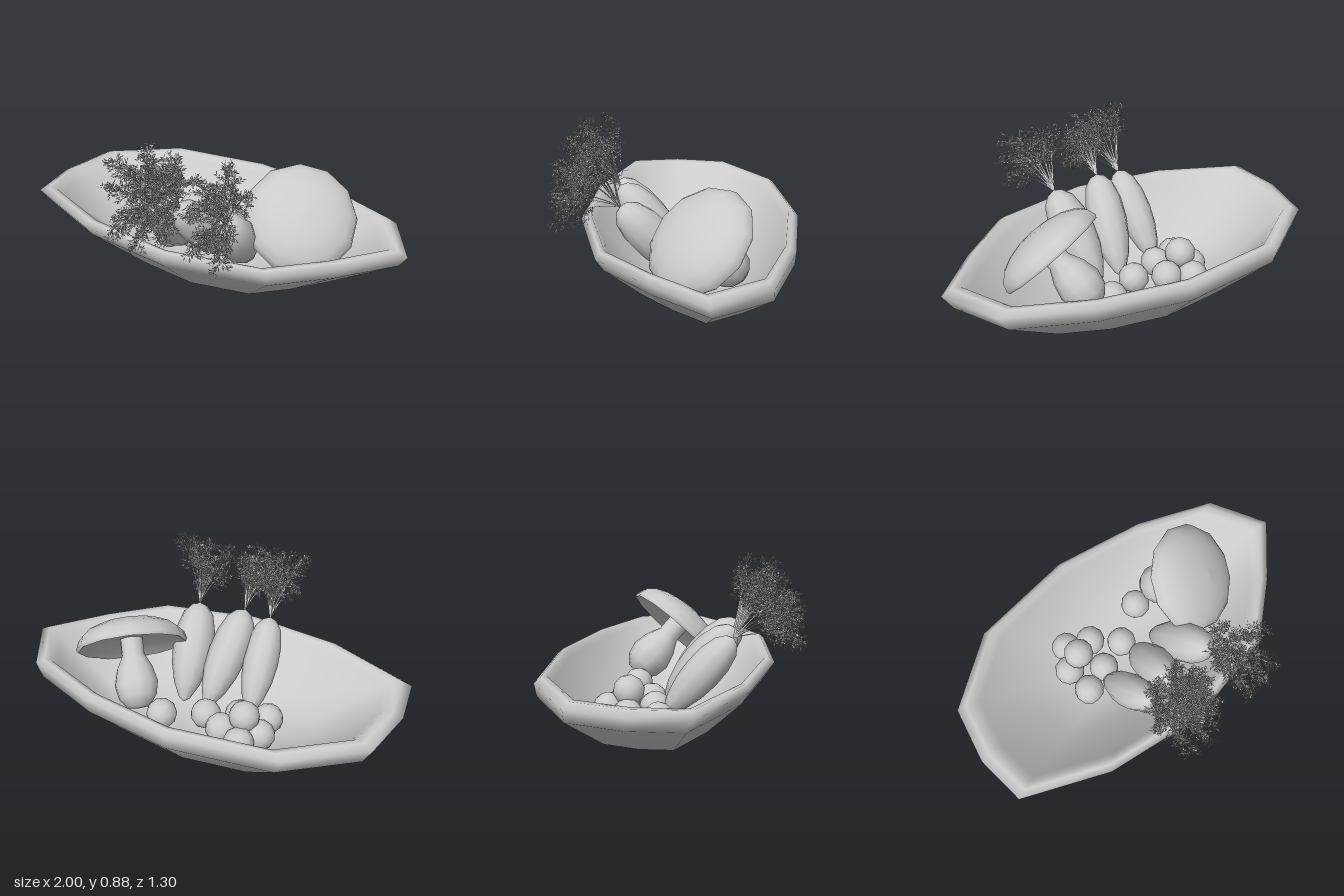
import * as THREE from 'three';

const V = (x, y, z) => new THREE.Vector3(x, y, z);
const UP = V(0, 1, 0);
const grey = new THREE.MeshStandardMaterial({ color: 0xcccccc });
const thin = new THREE.MeshStandardMaterial({ color: 0xcccccc, side: THREE.DoubleSide });

function add(parent, name, geometry, material = grey) {
  const mesh = new THREE.Mesh(geometry, material);
  mesh.name = name;
  parent.add(mesh);
  return mesh;
}

function seeded(seed) {
  return () => (seed = (seed * 16807) % 2147483647) / 2147483647;
}

const lathe = (pts, sides) =>
  new THREE.LatheGeometry(pts.map(([r, y]) => new THREE.Vector2(r, y)), sides);

// Bowl: one uneven outline, scaled and lifted row by row from outside base to inside floor
function bowlGeometry() {
  const outline = [
    [-1, -0.08], [-0.93, -0.37], [-0.57, -0.61], [-0.02, -0.655], [0.46, -0.555], [0.85, -0.385],
    [1, -0.09], [0.76, 0.16], [0.48, 0.39], [-0.04, 0.475], [-0.55, 0.39], [-0.98, 0.19],
  ];
  // scale, height, centre z
  const rows = [
    [0, 0, -0.12], [0.34, 0, -0.12], [0.6, 0.06, -0.12], [0.955, 0.275, -0.11], [1, 0.345, -0.09],
    [0.95, 0.37, -0.09], [0.905, 0.365, -0.09], [0.87, 0.33, -0.095], [0.56, 0.1, -0.115],
    [0.3, 0.05, -0.12], [0, 0.05, -0.12],
  ];
  const n = outline.length, pos = [], index = [];
  for (const [s, y, cz] of rows) {
    for (const [x, z] of outline) pos.push(x * s, y, cz + (z + 0.09) * s);
  }
  for (let i = 0; i < rows.length - 1; i++) {
    for (let j = 0; j < n; j++) {
      const a = i * n + j, d = i * n + (j + 1) % n;
      index.push(a, a + n, d, d, a + n, d + n);
    }
  }
  const g = new THREE.BufferGeometry();
  g.setAttribute('position', new THREE.Float32BufferAttribute(pos, 3));
  g.setIndex(index);
  g.computeVertexNormals();
  return g;
}

// Feathery carrot top: curved stalks, each with side sprigs of small diamond leaflets
function leafGeometry(root, lean, spread, height, rand) {
  const pos = [];
  const tri = (...ps) => ps.forEach(p => pos.push(p.x, p.y, p.z));
  const across = d => V(rand() - 0.5, rand() - 0.5, rand() - 0.5).cross(d).normalize();
  const blade = (a, b, w) => {
    const d = b.clone().sub(a);
    const side = across(d).multiplyScalar(w);
    const mid = a.clone().lerp(b, 0.5);
    const l = mid.clone().add(side), r = mid.clone().sub(side);
    tri(a, l, b);
    tri(a, b, r);
  };
  const stalks = 11;
  for (let k = 0; k < stalks; k++) {
    // Stalks fan from upright to drooping forward
    const phi = k * 2.4, rho = Math.sqrt((k + 0.6) / stalks), s = Math.sin(phi) * rho;
    const rise = 0.75 + 0.95 * s, len = height * (0.33 + 0.02 * s);
    const off = V(lean + spread * Math.cos(phi) * rho, len * Math.sin(rise), len * Math.cos(rise));
    const curve = new THREE.QuadraticBezierCurve3(root,
      root.clone().addScaledVector(off, 0.45).add(V(0, 0.06, 0.03)), root.clone().add(off));
    // Three-sided tapering stalk
    const steps = 8;
    for (let i = 0; i < steps; i++) {
      const ring = t => [0, 1, 2].map(j => curve.getPoint(t).add(
        V(Math.cos(j * 2.1), 0, Math.sin(j * 2.1)).multiplyScalar(0.006 * (1 - 0.75 * t))));
      const a = ring(i / steps), b = ring((i + 1) / steps);
      for (let j = 0; j < 3; j++) {
        const m = (j + 1) % 3;
        tri(a[j], b[j], a[m]);
        tri(a[m], b[j], b[m]);
      }
    }
    // Sprigs around the outer part of the stalk
    for (let i = 0; i < 24; i++) {
      const t = 0.38 + 0.62 * (i / 23);
      const p = curve.getPoint(t), tan = curve.getTangent(t);
      const d = across(tan).multiplyScalar(0.8).addScaledVector(tan, 0.75).normalize();
      const end = p.clone().addScaledVector(d, 0.105 - 0.06 * t).add(V(0, -0.015, 0));
      blade(p, end, 0.0018);
      for (let q = 1; q <= 10; q++) {
        const from = p.clone().lerp(end, q / 10);
        const dir = across(d).addScaledVector(d, 0.8).normalize();
        blade(from, from.clone().addScaledVector(dir, 0.024), 0.003);
      }
    }
  }
  const g = new THREE.BufferGeometry();
  g.setAttribute('position', new THREE.Float32BufferAttribute(pos, 3));
  g.computeVertexNormals();
  return g;
}

function carrot(tip, top, r, lean, spread, height, rand) {
  const group = new THREE.Group();
  group.name = 'carrot';
  const dir = top.clone().sub(tip), L = dir.length();
  const profile = [[0, 0], [0.28, 0.04], [0.64, 0.18], [0.9, 0.36], [1, 0.54], [0.96, 0.73],
    [0.74, 0.89], [0.4, 0.97], [0, 1]].map(([a, b]) => [a * r, b * L]);
  const root = add(group, 'carrotRoot', lathe(profile, 10));
  root.position.copy(tip);
  root.quaternion.setFromUnitVectors(UP, dir.normalize());
  add(group, 'carrotLeaves', leafGeometry(top, lean, spread, height, rand), thin);
  return group;
}

// Mushroom: shallow domed cap with hollow underside on a short bulbous stem
function mushroom() {
  const group = new THREE.Group();
  group.name = 'mushroom';
  const R = 0.29, H = 0.135;
  const dome = [[R * 0.97, -0.015]];
  for (let i = 0; i <= 5; i++) {
    const a = (i / 5) * Math.PI / 2;
    dome.push([R * Math.cos(a), H * Math.sin(a)]);
  }
  add(group, 'mushroomCap', lathe(dome, 12));
  add(group, 'mushroomUnderside',
    lathe([[0, 0.03], [0.12, 0.025], [0.22, 0.005], [R * 0.97, -0.015]], 12));
  add(group, 'mushroomStem', lathe([[0, -0.34], [0.06, -0.33], [0.1, -0.28], [0.115, -0.21],
    [0.095, -0.13], [0.06, -0.06], [0.06, 0.04]], 10));
  group.position.set(0.435, 0.4, -0.105);
  group.quaternion.setFromUnitVectors(UP, V(0.4, 0.7, 0.6).normalize());
  return group;
}

export function createModel() {
  const model = new THREE.Group();
  model.name = 'vegetableBowl';
  add(model, 'bowl', bowlGeometry());

  const rand = seeded(4217);
  model.add(
    carrot(V(-0.21, 0.1, -0.06), V(-0.19, 0.5, 0.28), 0.092, 0.03, 0.16, 1, rand),
    carrot(V(0.02, 0.1, -0.09), V(-0.05, 0.52, 0.27), 0.102, 0, 0.09, 0.8, rand),
    carrot(V(0.15, 0.1, -0.09), V(0.21, 0.5, 0.27), 0.108, 0.05, 0.16, 0.95, rand),
  );
  model.add(mushroom());

  // Small round fruits heaped at the back
  const fruits = [
    [-0.26, 0.14, -0.33], [-0.14, 0.15, -0.27], [-0.25, 0.23, -0.23], [-0.33, 0.13, -0.22],
    [-0.32, 0.12, -0.07], [-0.18, 0.13, -0.11], [-0.01, 0.12, -0.16], [0.19, 0.14, -0.27],
  ];
  fruits.forEach(([x, y, z], i) => {
    const fruit = add(model, 'roundFruit', new THREE.IcosahedronGeometry(0.08, 1));
    fruit.position.set(x, y, z);
    fruit.rotation.set(i, i * 1.7, 0);
  });
  return model;
}
